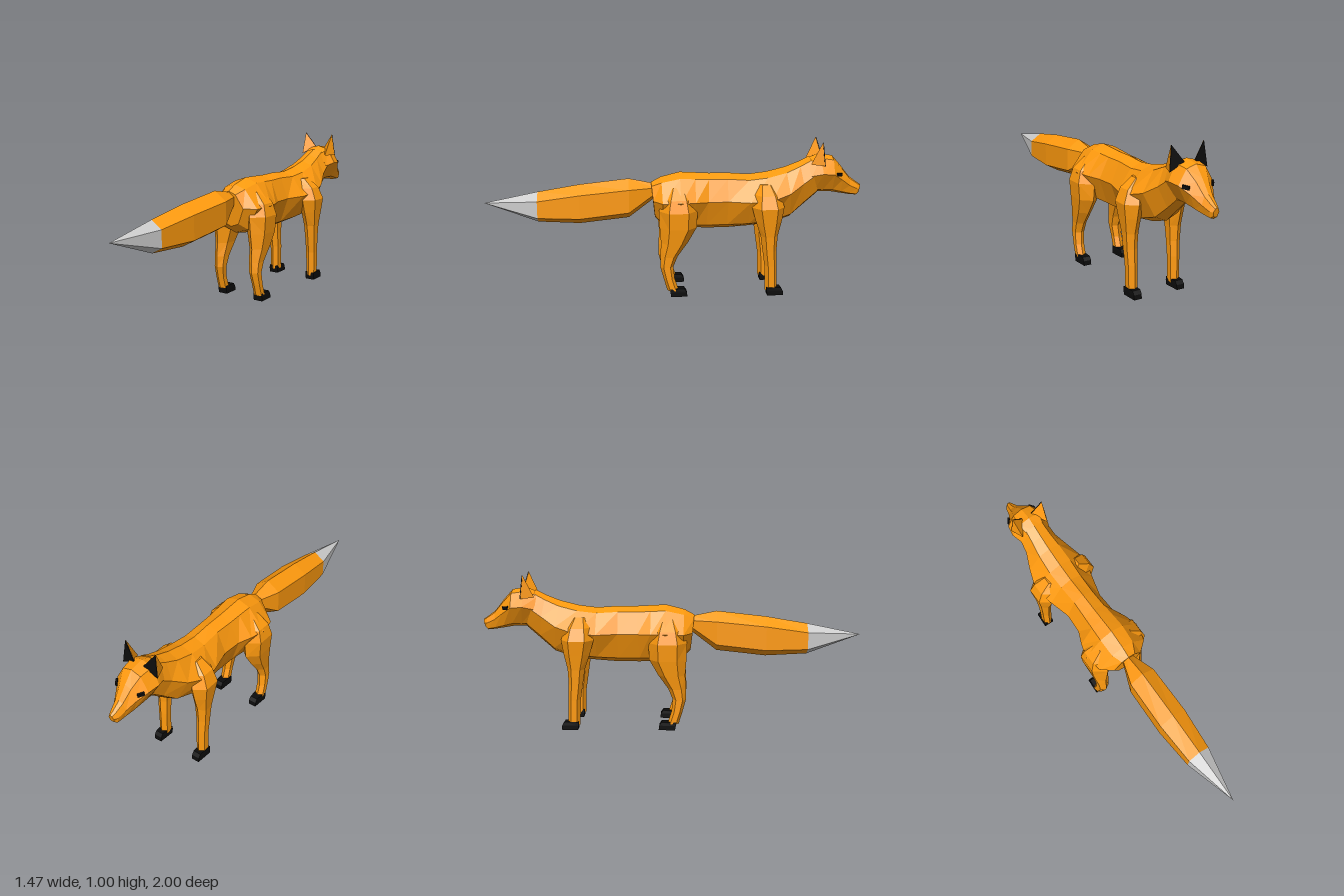
import * as THREE from 'three';

const material = (color) => new THREE.MeshStandardMaterial({ color, flatShading: true });
const orange = material(0xff9a0e), black = material(0x0c0c0c), grey = material(0xcccccc);

// Closed faceted skin over a list of rings with equal point counts.
function loft(name, rings, mat) {
  const tris = [];
  const n = rings[0].length;
  const add = (a, b, c) => {
    const area = new THREE.Triangle(a, b, c).getArea();
    if (area > 1e-9) tris.push([a, b, c]);
  };
  const pts = rings.map((r) => r.map((p) => new THREE.Vector3(...p)));
  for (let i = 0; i < pts.length - 1; i++) {
    for (let j = 0; j < n; j++) {
      const k = (j + 1) % n;
      add(pts[i][j], pts[i][k], pts[i + 1][k]);
      add(pts[i][j], pts[i + 1][k], pts[i + 1][j]);
    }
  }
  const first = pts[0], last = pts[pts.length - 1];
  for (let j = 1; j < n - 1; j++) {
    add(first[0], first[j + 1], first[j]);
    add(last[0], last[j], last[j + 1]);
  }
  // Turn the faces outward when the rings run the other way.
  const origin = first[0];
  const volume = tris.reduce((sum, t) => {
    const [a, b, c] = t.map((p) => p.clone().sub(origin));
    return sum + a.dot(b.cross(c));
  }, 0);
  const ordered = volume < 0 ? tris.map(([a, b, c]) => [a, c, b]) : tris;
  const geometry = new THREE.BufferGeometry().setFromPoints(ordered.flat());
  geometry.computeVertexNormals();
  const mesh = new THREE.Mesh(geometry, mat);
  mesh.name = name;
  return mesh;
}

// Upright eight-sided section, mirrored left and right.
function section([zTop, zBottom, top, bottom, wTop, wMid, wLow]) {
  const half = [[0, 1], [wTop, 0.92], [wMid, 0.55], [wLow, 0.1], [0, 0]];
  const point = (x, t) => [
    x, THREE.MathUtils.lerp(bottom, top, t), THREE.MathUtils.lerp(zBottom, zTop, t),
  ];
  return [
    ...half.map(([x, t]) => point(x, t)),
    ...half.slice(1, 4).reverse().map(([x, t]) => point(-x, t)),
  ];
}

// Level six-sided section of a leg: height, forward, sideways, half sizes.
function legRing(side, [y, z, x, hz, hx]) {
  return Array.from({ length: 6 }, (_, i) => {
    const a = (i / 6) * Math.PI * 2;
    return [side * (x + (hx * Math.sin(a)) / 0.866), y, z + hz * Math.cos(a)];
  });
}

// Six-sided tail section with ridges above and below.
const tailRing = ([z, top, high, low, bottom, w]) => [
  [0, top, z], [w, high, z], [w, low, z], [0, bottom, z], [-w, low, z], [-w, high, z],
];

const bodyProfile = [
  [-0.155, -0.13, 0.735, 0.5, 0.05, 0.105, 0.06],
  [-0.09, -0.08, 0.77, 0.45, 0.08, 0.175, 0.1],
  [0.03, 0.03, 0.8, 0.43, 0.085, 0.2, 0.11],
  [0.13, 0.12, 0.795, 0.425, 0.08, 0.172, 0.09],
  [0.22, 0.2, 0.79, 0.42, 0.075, 0.135, 0.075],
  [0.34, 0.34, 0.79, 0.42, 0.07, 0.128, 0.07],
  [0.48, 0.48, 0.78, 0.43, 0.075, 0.165, 0.085],
  [0.6, 0.62, 0.795, 0.445, 0.08, 0.198, 0.095],
  [0.72, 0.76, 0.825, 0.49, 0.075, 0.155, 0.08],
  [0.81, 0.855, 0.86, 0.575, 0.065, 0.115, 0.06],
  [0.88, 0.94, 0.895, 0.65, 0.06, 0.105, 0.055],
];
const headProfile = [
  [0.85, 0.92, 0.875, 0.66, 0.06, 0.105, 0.055],
  [0.94, 0.97, 0.912, 0.655, 0.075, 0.13, 0.06],
  [1.03, 1.03, 0.897, 0.655, 0.065, 0.117, 0.06],
  [1.09, 1.09, 0.83, 0.645, 0.042, 0.078, 0.048],
  [1.15, 1.15, 0.755, 0.635, 0.028, 0.046, 0.032],
  [1.205, 1.2, 0.715, 0.63, 0.018, 0.032, 0.024],
  [1.228, 1.215, 0.7, 0.645, 0.01, 0.02, 0.014],
];
const hindLegProfile = [
  [0.04, -0.02, 0.147, 0.037, 0.03],
  [0.12, -0.045, 0.147, 0.036, 0.03],
  [0.2, -0.06, 0.142, 0.043, 0.034],
  [0.27, -0.045, 0.14, 0.057, 0.038],
  [0.36, -0.01, 0.14, 0.087, 0.05],
  [0.46, 0.015, 0.135, 0.12, 0.068],
  [0.57, 0.015, 0.13, 0.125, 0.082],
  [0.65, 0.015, 0.12, 0.1, 0.07],
  [0.72, 0.015, 0.08, 0.06, 0.04],
];
const frontLegProfile = [
  [0.03, 0.625, 0.153, 0.04, 0.03],
  [0.2, 0.62, 0.153, 0.041, 0.033],
  [0.3, 0.61, 0.155, 0.046, 0.036],
  [0.4, 0.605, 0.155, 0.056, 0.042],
  [0.5, 0.6, 0.155, 0.085, 0.055],
  [0.59, 0.595, 0.152, 0.105, 0.07],
  [0.67, 0.59, 0.13, 0.085, 0.06],
  [0.73, 0.585, 0.08, 0.05, 0.04],
];
const tailProfile = [
  [-0.13, 0.725, 0.7, 0.66, 0.63, 0.03],
  [-0.3, 0.76, 0.7, 0.55, 0.5, 0.088],
  [-0.62, 0.725, 0.67, 0.515, 0.465, 0.093],
  [-0.89, 0.68, 0.63, 0.52, 0.48, 0.075],
];

function createEar(side) {
  const ear = new THREE.Group();
  ear.name = 'ear';
  const outer = [side * 0.128, 0.85, 0.958];
  const inner = [side * 0.035, 0.9, 0.965];
  const back = [side * 0.095, 0.855, 0.875];
  const tip = [side * 0.11, 1, 0.943];
  const shift = (dz) => [outer, inner, tip].map(([x, y, z]) => [x, y, z + dz]);
  ear.add(loft('earShell', [[outer, inner, back], [tip, tip, tip]], orange));
  ear.add(loft('earInside', [shift(0.001), shift(0.005)], black));
  return ear;
}

// Block foot with a sloping toe.
function createFoot(name, side, z, x) {
  const ring = (y, back, front, w) => [
    [side * x - w, y, z + back], [side * x + w, y, z + back],
    [side * x + w * 0.8, y, z + front], [side * x - w * 0.8, y, z + front],
  ];
  return loft(name, [
    ring(0, -0.045, 0.062, 0.033),
    ring(0.03, -0.05, 0.058, 0.034),
    ring(0.053, -0.05, 0.042, 0.033),
  ], black);
}

export function createModel() {
  const fox = new THREE.Group();
  fox.name = 'fox';

  // Trunk and head
  fox.add(loft('body', bodyProfile.map(section), orange));
  fox.add(loft('head', headProfile.map(section), orange));

  // Tail with a pale tip
  const tailEnd = tailRing(tailProfile[3]);
  fox.add(loft('tail', tailProfile.map(tailRing), orange));
  fox.add(loft('tailTip', [tailEnd, tailEnd.map(() => [0, 0.61, -1.236])], grey));

  // Paired parts
  for (const side of [1, -1]) {
    fox.add(loft('hindLeg', hindLegProfile.map((r) => legRing(side, r)), orange));
    fox.add(loft('frontLeg', frontLegProfile.map((r) => legRing(side, r)), orange));
    fox.add(createFoot('hindFoot', side, 0.012, 0.145));
    fox.add(createFoot('frontFoot', side, 0.643, 0.155));
    fox.add(createEar(side));

    const eye = new THREE.Mesh(new THREE.BoxGeometry(0.012, 0.022, 0.042), black);
    eye.name = 'eye';
    eye.position.set(side * 0.091, 0.785, 1.065);
    eye.rotation.set(0.15, -0.59 * side, 0);
    fox.add(eye);
  }

  // The animal stands diagonally, nose toward +x and -z.
  fox.rotation.y = Math.PI - 0.632;
  const model = new THREE.Group();
  model.name = 'model';
  model.add(fox);
  return model;
}
